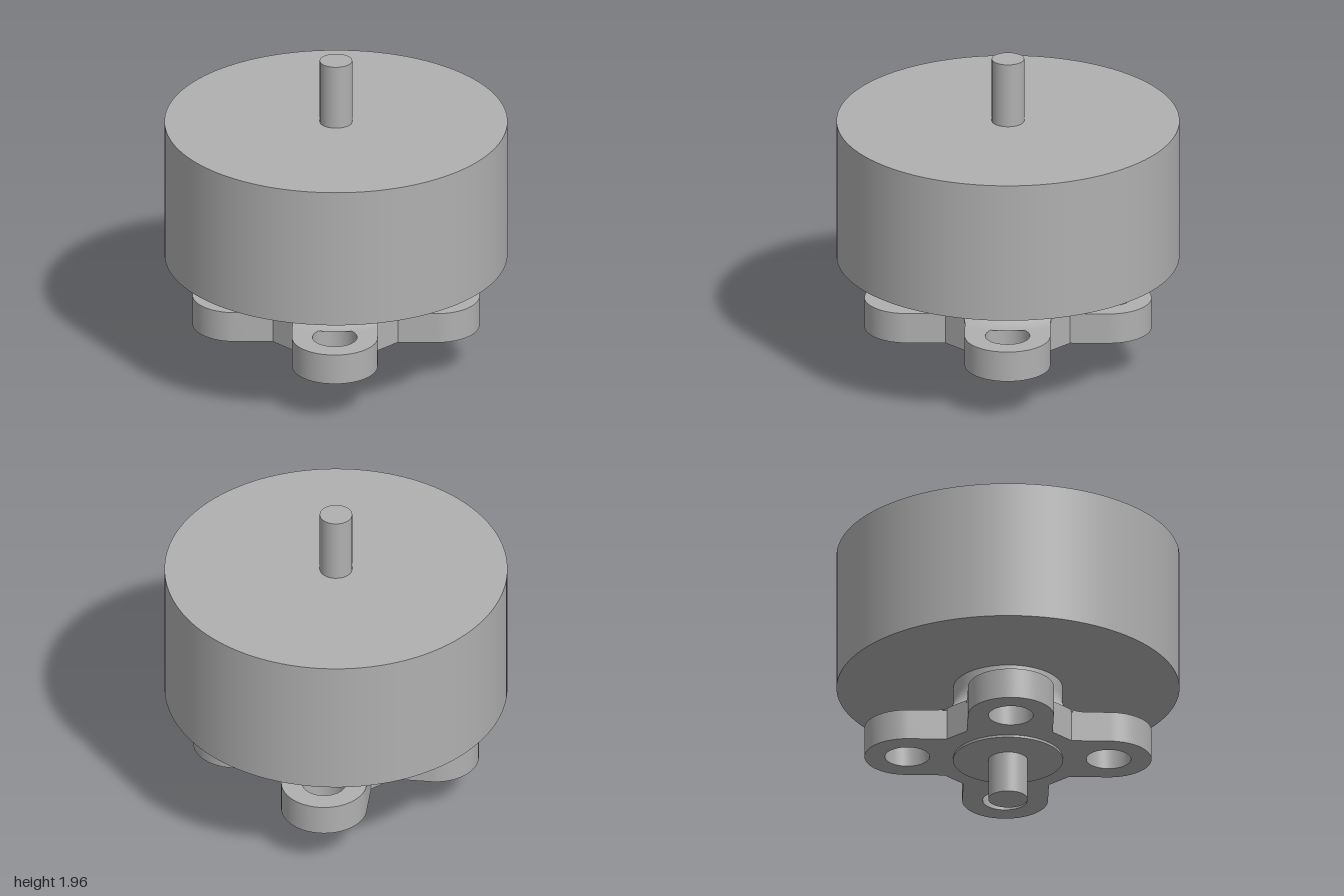
import * as THREE from 'three';
import { toCreasedNormals } from 'three/addons/utils/BufferGeometryUtils.js';

const ARM_DIST = 0.587, ARM_R = 0.25, HOLE_R = 0.13, NOTCH = 0.434;
const PLATE_BOTTOM = 0.265, PLATE_TOP = 0.45;
const NECK_R = 0.318, FILLET = 0.192;

// Four-armed mounting plate with a screw hole in each rounded end
function plateGeometry() {
  const shape = new THREE.Shape();
  const half = NOTCH - ARM_R * Math.SQRT2; // half width of the flat between two arms
  for (let k = 0; k < 4; k++) {
    const n = k * Math.PI / 2, a = n + Math.PI / 4;
    for (const s of [-half, half]) {
      const x = NOTCH * Math.cos(n) - s * Math.sin(n);
      const y = NOTCH * Math.sin(n) + s * Math.cos(n);
      if (k === 0 && s < 0) shape.moveTo(x, y); else shape.lineTo(x, y);
    }
    const cx = ARM_DIST * Math.cos(a), cy = ARM_DIST * Math.sin(a);
    shape.absarc(cx, cy, ARM_R, a - Math.PI / 2, a + Math.PI / 2, false);
    const hole = new THREE.Path();
    hole.absarc(cx, cy, HOLE_R, 0, Math.PI * 2, true);
    shape.holes.push(hole);
  }
  shape.closePath();
  const geo = new THREE.ExtrudeGeometry(shape, {
    depth: PLATE_TOP - PLATE_BOTTOM, bevelEnabled: false, curveSegments: 32,
  });
  geo.rotateX(-Math.PI / 2);
  geo.translate(0, PLATE_BOTTOM, 0);
  return toCreasedNormals(geo, 0.5);
}

// Neck with a concave fillet, trimmed to the plate outline between the arms
function neckGeometry(top) {
  const cr = NECK_R + FILLET, cy = PLATE_TOP + FILLET;
  const filletY = (r) => cy - Math.sqrt(Math.max(0, FILLET ** 2 - (cr - r) ** 2));
  const points = [new THREE.Vector2(cr, PLATE_TOP)];
  const steps = 20;
  for (let i = 0; i <= steps; i++) {
    const t = i / steps * Math.PI / 2;
    points.push(new THREE.Vector2(cr - FILLET * Math.sin(t), cy - FILLET * Math.cos(t)));
  }
  points.push(new THREE.Vector2(NECK_R, top));
  const geo = new THREE.LatheGeometry(points, 144);
  const pos = geo.attributes.position;
  for (let i = 0; i < pos.count; i++) {
    const x = pos.getX(i), z = pos.getZ(i), r = Math.hypot(x, z);
    const ang = Math.atan2(z, x), quarter = Math.PI / 2;
    const off = Math.abs(ang - Math.round(ang / quarter) * quarter); // angle from notch centre
    const side = ARM_R / Math.max(1e-4, Math.sin(Math.PI / 4 - off));
    const limit = Math.max(NOTCH / Math.cos(off), side);
    if (r > limit) {
      const row = i % points.length;
      pos.setXYZ(i, x * limit / r, row === 0 ? PLATE_TOP : filletY(limit), z * limit / r);
    }
  }
  geo.deleteAttribute('normal');
  return toCreasedNormals(geo, 0.6);
}

export function createModel() {
  const group = new THREE.Group();
  const metal = new THREE.MeshStandardMaterial({ color: 0xb0b0b0 });
  metal.name = 'grey metal';

  const add = (name, geo) => {
    const mesh = new THREE.Mesh(geo, metal);
    mesh.name = name;
    group.add(mesh);
  };
  const cylinder = (r, y0, y1, segments) =>
    new THREE.CylinderGeometry(r, r, y1 - y0, segments).translate(0, (y0 + y1) / 2, 0);

  // Rotating can and its shafts
  add('bell', cylinder(1, 0.715, 1.565, 128));
  add('topShaft', cylinder(0.095, 1.565, 1.955, 48));
  add('bottomShaft', cylinder(0.115, 0, 0.25, 48));

  // Mount under the can
  add('neck', neckGeometry(0.715));
  add('mountPlate', plateGeometry());
  add('bottomDisc', cylinder(0.32, 0.25, PLATE_BOTTOM, 96));

  return group;
}
